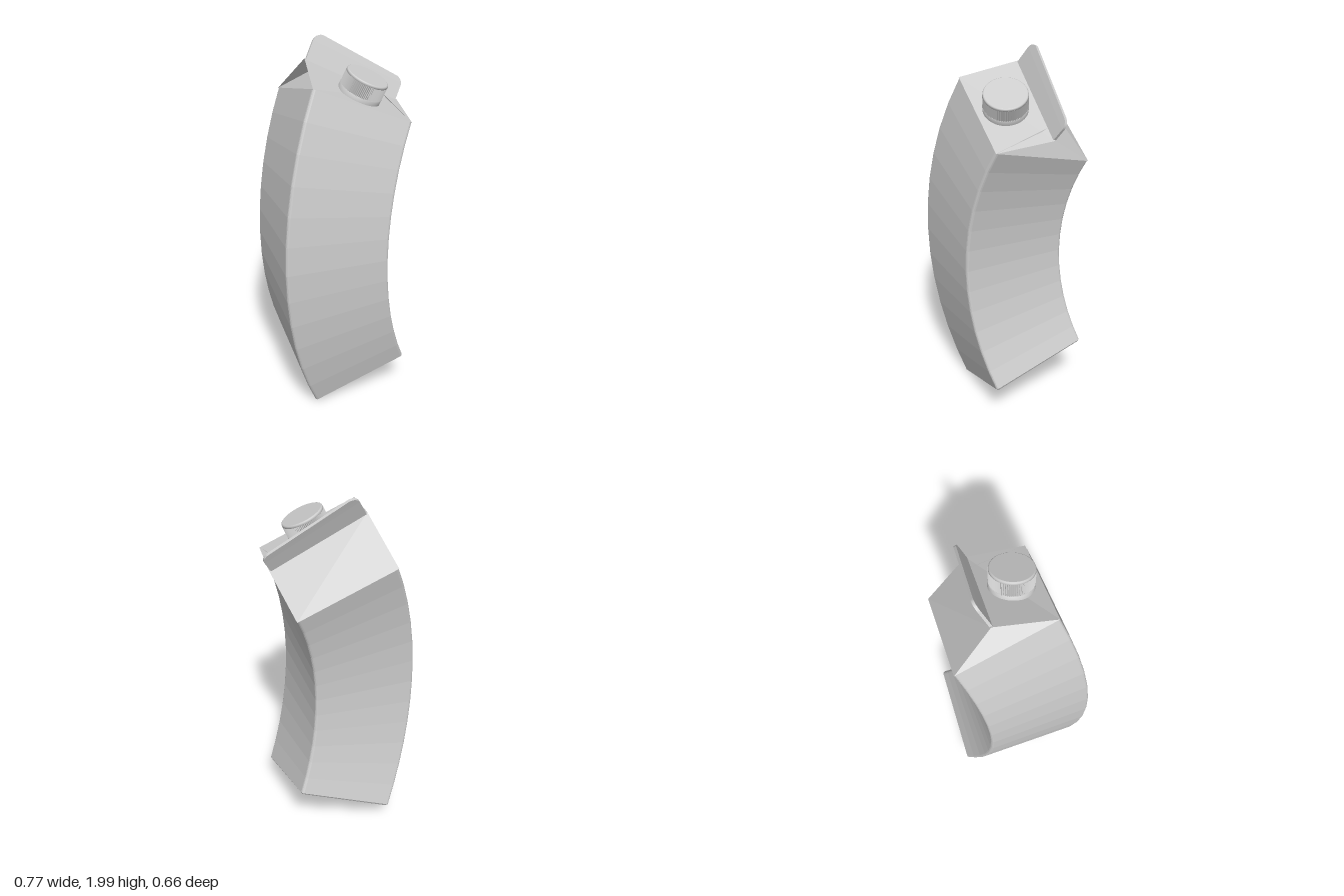
import * as THREE from 'three';

// Bend settings: the carton is designed upright, then curved along a diagonal
const R = 1.522, DX = 0.819, DZ = -0.574;
const CX = -0.108, CY = 0.92, CZ = 0.06;
const HALF = 0.275;      // half width of the square section
const LEN = 0.767;       // half length of the straight body
const RIDGE = LEN + 0.138;
const FIN = LEN + 0.268;

function bend(x, s, z) {
  const a = s / R, r = R - (x * DX + z * DZ), shift = r * (1 - Math.cos(a));
  return new THREE.Vector3(CX + x + DX * shift, CY + r * Math.sin(a), CZ + z + DZ * shift);
}

// Flat shaded geometry from triangles of bent points
function facets(tris) {
  const g = new THREE.BufferGeometry().setFromPoints(tris);
  g.computeVertexNormals();
  return g;
}

const quad = (a, b, c, d) => [a, b, c, a, c, d];

// Square outline with small rounded corners, as [x, z] pairs
function outline(half, r) {
  const pts = [];
  for (let c = 0; c < 4; c++) {
    const mid = Math.PI / 4 + c * Math.PI / 2;
    const ox = Math.sign(Math.cos(mid)) * (half - r), oz = Math.sign(Math.sin(mid)) * (half - r);
    for (let i = 0; i <= 3; i++) {
      const a = c * Math.PI / 2 + i * Math.PI / 6;
      pts.push([ox + r * Math.cos(a), oz + r * Math.sin(a)]);
    }
  }
  return pts;
}

export function createModel() {
  const group = new THREE.Group();
  const card = new THREE.MeshStandardMaterial({ color: 0xcccccc, side: THREE.DoubleSide });
  card.name = 'light grey card';
  const add = (name, geometry, parent = group) => {
    const mesh = new THREE.Mesh(geometry, card);
    mesh.name = name;
    parent.add(mesh);
    return mesh;
  };

  // Curved body in flat bands, with a bevelled closed bottom
  const bands = 12, bevel = 0.01;
  const rings = [outline(HALF - bevel, 0.008).map(([x, z]) => bend(x, -LEN, z))];
  for (let i = 0; i <= bands; i++) {
    const s = i === 0 ? -LEN + bevel : -LEN + 2 * LEN * i / bands;
    rings.push(outline(HALF, 0.014).map(([x, z]) => bend(x, s, z)));
  }
  const body = [], n = rings[0].length, base = bend(0, -LEN, 0);
  for (let j = 0; j < n; j++) {
    const k = (j + 1) % n;
    body.push(base, rings[0][j], rings[0][k]);
    for (let i = 0; i + 1 < rings.length; i++) {
      body.push(...quad(rings[i][j], rings[i + 1][j], rings[i + 1][k], rings[i][k]));
    }
  }
  add('body', facets(body));

  // Gable roof panels
  const ridgeL = bend(-HALF, RIDGE, 0), ridgeR = bend(HALF, RIDGE, 0);
  const frontL = bend(-HALF, LEN, HALF), frontR = bend(HALF, LEN, HALF);
  const backL = bend(-HALF, LEN, -HALF), backR = bend(HALF, LEN, -HALF);
  add('frontRoof', facets(quad(frontL, frontR, ridgeR, ridgeL)));
  add('backRoof', facets(quad(backR, backL, ridgeL, ridgeR)));

  // Side triangles folded inward beneath the roof
  const fold = 0.09;
  add('leftFold', facets([frontR, backR, bend(HALF - fold, RIDGE, 0)]));
  add('rightFold', facets([backL, frontL, bend(-HALF + fold, RIDGE, 0)]));

  // Sealed fin along the ridge, with rounded top corners
  const w = 0.268, r = 0.045, low = RIDGE - 0.008;
  const finShape = new THREE.Shape();
  finShape.moveTo(-w, low);
  finShape.lineTo(w, low);
  finShape.lineTo(w, FIN - r);
  finShape.absarc(w - r, FIN - r, r, 0, Math.PI / 2);
  finShape.lineTo(-w + r, FIN);
  finShape.absarc(-w + r, FIN - r, r, Math.PI / 2, Math.PI);
  const fin = new THREE.ExtrudeGeometry(finShape, { depth: 0.014, bevelEnabled: false, curveSegments: 8 });
  const p = fin.attributes.position;
  for (let i = 0; i < p.count; i++) {
    const v = bend(p.getX(i), p.getY(i), p.getZ(i) - 0.007);
    p.setXYZ(i, v.x, v.y, v.z);
  }
  fin.computeVertexNormals();
  add('ridgeFin', fin);

  // Screw cap standing square on the front roof panel
  const cap = new THREE.Group();
  cap.name = 'screwCap';
  const across = frontR.clone().sub(frontL).normalize();
  const lowMid = frontL.clone().lerp(frontR, 0.5), highMid = ridgeL.clone().lerp(ridgeR, 0.5);
  const normal = across.clone().cross(highMid.clone().sub(lowMid)).normalize();
  cap.quaternion.setFromUnitVectors(new THREE.Vector3(0, 1, 0), normal);
  cap.position.copy(lowMid.lerp(highMid, 0.47)).addScaledVector(across, 0.008);
  group.add(cap);

  const lathe = (pts) => new THREE.LatheGeometry(pts.map(([x, y]) => new THREE.Vector2(x, y)), 64);
  add('capCollar', lathe([[0.114, -0.005], [0.114, 0.02], [0.106, 0.022]]), cap);
  add('capTop', lathe([[0.107, 0.088], [0.112, 0.09], [0.112, 0.098], [0.11, 0.102], [0.106, 0.104]]), cap);
  const disc = add('capDisc', new THREE.CircleGeometry(0.106, 64), cap);
  disc.rotation.x = -Math.PI / 2;
  disc.position.y = 0.104;

  // Fine grip ribs around the cap
  const ribs = 80, grip = [];
  const rib = (i, y) => {
    const a = i * Math.PI / ribs, rad = i % 2 ? 0.107 : 0.113;
    return new THREE.Vector3(rad * Math.sin(a), y, rad * Math.cos(a));
  };
  for (let i = 0; i < ribs * 2; i++) {
    grip.push(...quad(rib(i, 0.02), rib(i + 1, 0.02), rib(i + 1, 0.09), rib(i, 0.09)));
  }
  add('capGrip', facets(grip), cap);

  return group;
}
